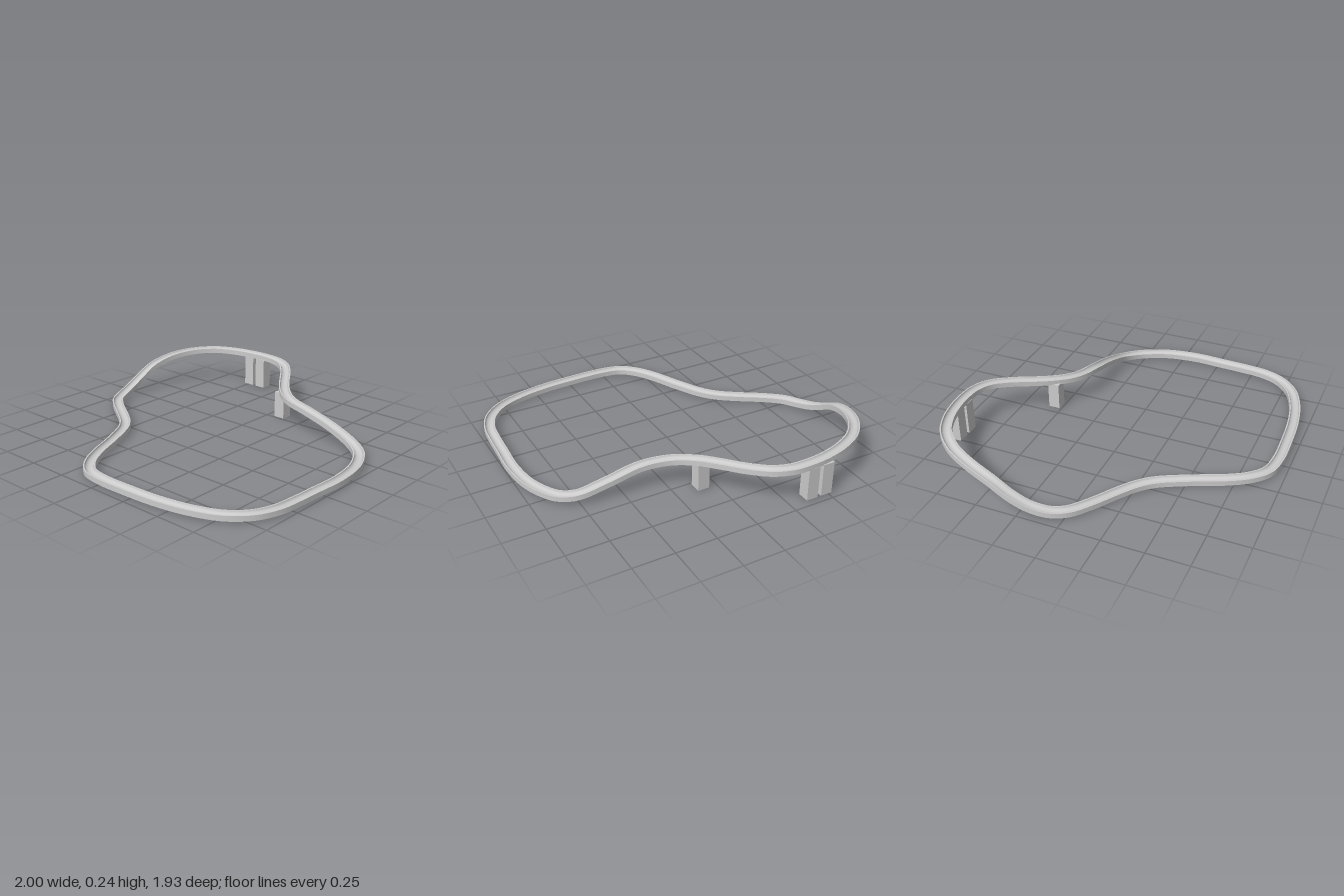
import * as THREE from 'three';
import { mergeGeometries } from 'three/addons/utils/BufferGeometryUtils.js';

const HALF = 0.034, HEIGHT = 0.031, RIM = 0.008, DEPTH = 0.02, STEPS = 300;

// Centre line of the track as [x, underside height, z]
const PATH = [
  [0, 0.01, 0.927], [0.22, 0.01, 0.926], [0.42, 0.01, 0.912], [0.61, 0.01, 0.875],
  [0.775, 0.01, 0.807], [0.88, 0.01, 0.705], [0.932, 0.01, 0.58], [0.947, 0.01, 0.45],
  [0.956, 0.01, 0.28], [0.964, 0.01, 0.1], [0.94, 0.01, -0.09], [0.888, 0.011, -0.22],
  [0.835, 0.015, -0.297], [0.75, 0.031, -0.355], [0.59, 0.08, -0.388], [0.39, 0.131, -0.405],
  [0.25, 0.145, -0.44], [0.165, 0.152, -0.488], [0.085, 0.162, -0.565], [0.02, 0.171, -0.65],
  [-0.08, 0.187, -0.79], [-0.17, 0.198, -0.88], [-0.27, 0.203, -0.922], [-0.38, 0.206, -0.929],
  [-0.49, 0.208, -0.919], [-0.62, 0.211, -0.886], [-0.745, 0.212, -0.822], [-0.855, 0.205, -0.705],
  [-0.923, 0.186, -0.56], [-0.955, 0.148, -0.42], [-0.964, 0.087, -0.3], [-0.955, 0.039, -0.19],
  [-0.928, 0.014, -0.08], [-0.88, 0.01, 0.005], [-0.79, 0.01, 0.082], [-0.62, 0.01, 0.196],
  [-0.535, 0.01, 0.26], [-0.463, 0.01, 0.34], [-0.37, 0.01, 0.515], [-0.285, 0.01, 0.705],
  [-0.21, 0.01, 0.825], [-0.12, 0.01, 0.902],
].map(p => new THREE.Vector3(...p));

// Upright frames spaced evenly along the closed loop
function makeFrames() {
  const curve = new THREE.CatmullRomCurve3(PATH, true, 'centripetal');
  const up = new THREE.Vector3(0, 1, 0);
  return Array.from({ length: STEPS }, (_, i) => {
    const tangent = curve.getTangentAt(i / STEPS);
    const side = new THREE.Vector3().crossVectors(tangent, up).normalize();
    const normal = new THREE.Vector3().crossVectors(side, tangent).normalize();
    return { point: curve.getPointAt(i / STEPS), side, normal };
  });
}

// Sweep one smooth run of the cross-section around the loop
function sweep(frames, profile) {
  const positions = [], index = [], n = profile.length;
  frames.forEach(({ point, side, normal }, i) => {
    for (const [s, h] of profile) {
      const v = point.clone().addScaledVector(side, s).addScaledVector(normal, h);
      positions.push(v.x, v.y, v.z);
    }
    const next = (i + 1) % frames.length;
    for (let j = 0; j < n - 1; j++) {
      const a = i * n + j, b = next * n + j;
      index.push(a, b, a + 1, b, b + 1, a + 1);
    }
  });
  const geometry = new THREE.BufferGeometry();
  geometry.setAttribute('position', new THREE.Float32BufferAttribute(positions, 3));
  geometry.setIndex(index);
  geometry.computeVertexNormals();
  return geometry;
}

export function createModel() {
  const group = new THREE.Group();
  const material = new THREE.MeshStandardMaterial({ color: 0xcccccc });

  // Track: flat underside, upright walls, narrow rims and a rounded trough
  const inner = HALF - RIM;
  const trough = Array.from({ length: 11 }, (_, i) => {
    const a = Math.PI * i / 10;
    return [inner * Math.cos(a), HEIGHT - DEPTH * Math.sin(a)];
  });
  const runs = [
    [[-HALF, 0], [HALF, 0]],
    [[HALF, 0], [HALF, HEIGHT]],
    [[HALF, HEIGHT], [inner, HEIGHT]],
    trough,
    [[-inner, HEIGHT], [-HALF, HEIGHT]],
    [[-HALF, HEIGHT], [-HALF, 0]],
  ];
  const frames = makeFrames();
  const track = new THREE.Mesh(mergeGeometries(runs.map(r => sweep(frames, r))), material);
  track.name = 'track';
  group.add(track);

  // Support posts under the raised stretch: x, z, base height, top height
  [
    [-0.48, -0.928, 0.008, 0.21],
    [-0.385, -0.928, 0.008, 0.21],
    [0.086, -0.55, 0, 0.167],
  ].forEach(([x, z, base, top], i) => {
    const post = new THREE.Mesh(new THREE.BoxGeometry(0.072, top - base, 0.072), material);
    post.position.set(x, (base + top) / 2, z);
    post.name = `supportPost${i + 1}`;
    group.add(post);
  });
  return group;
}
